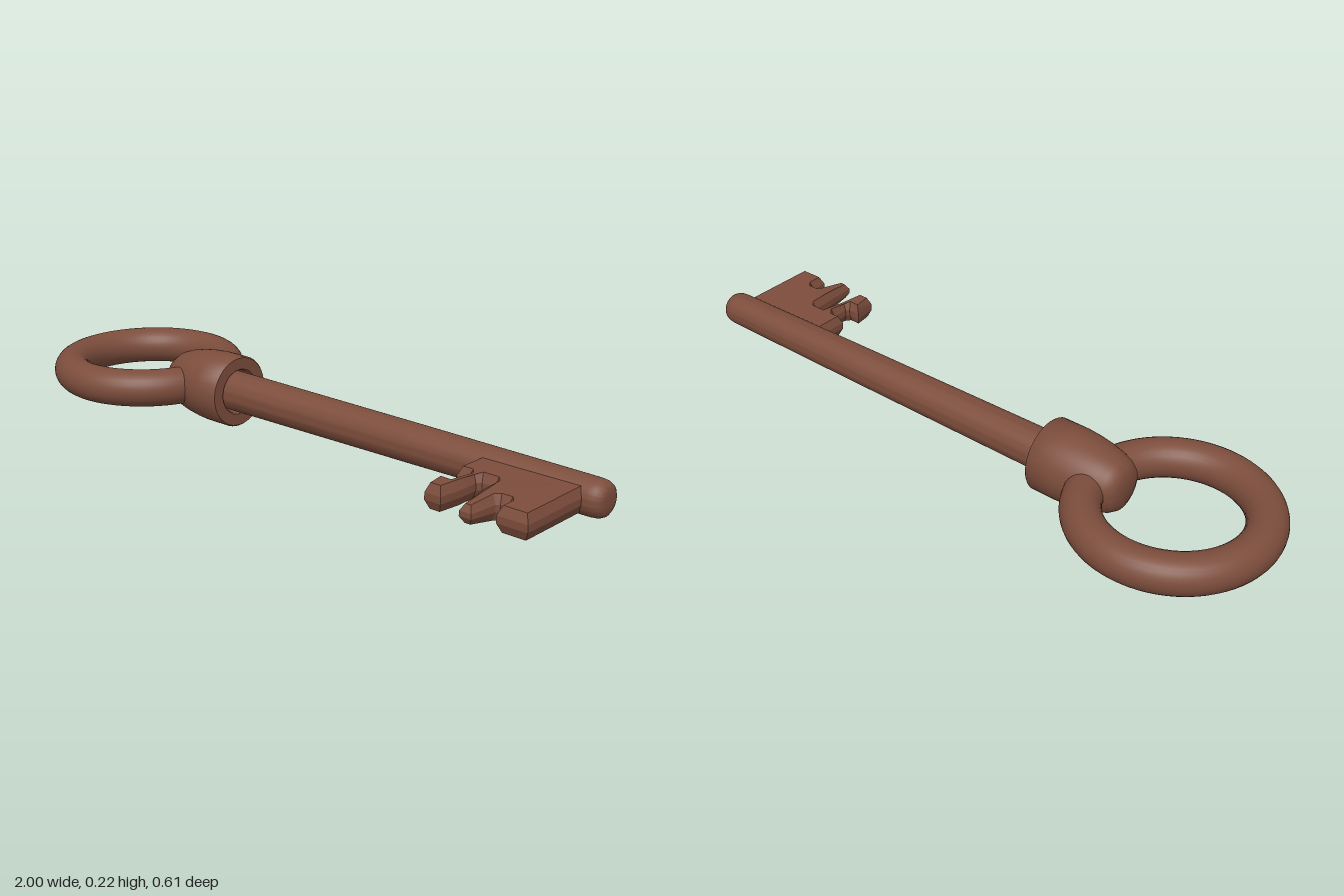
import * as THREE from 'three';
import { toCreasedNormals } from 'three/addons/utils/BufferGeometryUtils.js';

const AXIS_Y = 0.111;
const AXIS_Z = -0.004;

export function createModel() {
  const key = new THREE.Group();
  key.name = 'key';
  const bronze = new THREE.MeshStandardMaterial({ color: 0x7c4d3c });
  bronze.name = 'brown metal';

  const add = (name, geometry, x = 0, z = AXIS_Z) => {
    const mesh = new THREE.Mesh(geometry, bronze);
    mesh.name = name;
    mesh.position.set(x, AXIS_Y, z);
    key.add(mesh);
  };

  // Turned part along x, from [x, radius] pairs
  const turned = (profile) => {
    const points = profile.map(([x, r]) => new THREE.Vector2(r, x));
    const g = new THREE.LatheGeometry(points, 48);
    g.rotateZ(-Math.PI / 2);
    return toCreasedNormals(g, 0.7);
  };

  // Ring handle, lying flat
  const ring = new THREE.TorusGeometry(0.245, 0.057, 28, 72);
  ring.rotateX(Math.PI / 2);
  add('ringHandle', ring, -0.698, -0.005);

  // Collar with a domed back and a socket around the shaft
  add('collar', turned([
    [-0.55, 0], [-0.549, 0.045], [-0.54, 0.066], [-0.52, 0.08], [-0.49, 0.091],
    [-0.45, 0.1], [-0.41, 0.106], [-0.37, 0.109], [-0.29, 0.109], [-0.285, 0.105],
    [-0.285, 0.07], [-0.29, 0.066], [-0.34, 0.064], [-0.34, 0],
  ]));

  // Slightly tapering shaft with a rounded tip
  add('shaft', turned([
    [-0.36, 0], [-0.36, 0.061], [-0.2, 0.06], [0.4, 0.056], [0.96, 0.051],
    [0.98, 0.049], [0.992, 0.043], [0.998, 0.034], [1, 0.02], [1, 0],
  ]));

  // Toothed bit: outline in x and z, bevelled on both faces
  const outline = [
    [0.635, 0.01], [0.635, 0.13], [0.672, 0.13], [0.682, 0.142], [0.682, 0.192],
    [0.674, 0.202], [0.635, 0.202], [0.645, 0.275], [0.695, 0.275], [0.704, 0.2],
    [0.704, 0.142], [0.714, 0.13], [0.752, 0.13], [0.762, 0.142], [0.766, 0.21],
    [0.774, 0.306], [0.81, 0.306], [0.822, 0.225], [0.83, 0.215], [0.852, 0.215],
    [0.86, 0.225], [0.86, 0.275], [0.95, 0.275], [0.95, 0.01],
  ];
  const shape = new THREE.Shape(outline.map(([x, z]) => new THREE.Vector2(x, z)));
  const bevel = 0.011;
  const bit = new THREE.ExtrudeGeometry(shape, {
    depth: 0.02, bevelEnabled: true, bevelSegments: 1,
    bevelThickness: 0.025, bevelSize: bevel, bevelOffset: -bevel,
  });
  bit.translate(0, 0, -0.01);
  bit.rotateX(Math.PI / 2);
  // Thin the tip of the longest tooth
  const p = bit.attributes.position;
  for (let i = 0; i < p.count; i++) {
    if (p.getZ(i) > 0.28) p.setY(i, p.getY(i) * 0.72);
  }
  add('bit', toCreasedNormals(bit, 0.4), 0, 0);

  return key;
}
